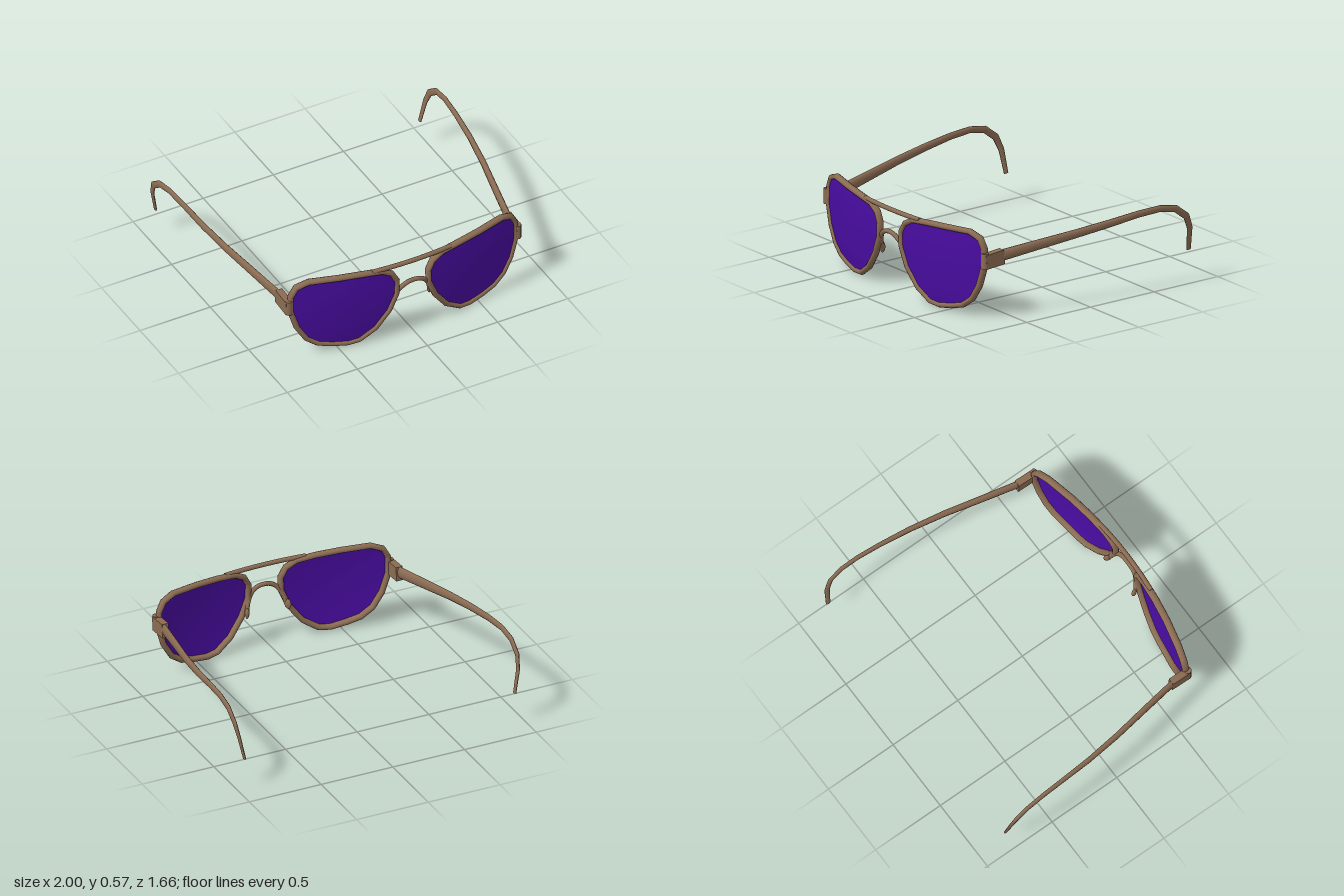
import * as THREE from 'three';

const frameMat = new THREE.MeshStandardMaterial({ color: 0x8b6b52 });
frameMat.name = 'brown frame';
const lensMat = new THREE.MeshStandardMaterial({ color: 0x480ca0, side: THREE.DoubleSide });
lensMat.name = 'purple lens';

// Outer edge of one rim (x, y), clockwise from the inner top corner
const OUTLINE = [
  [0.2, 0.54], [0.33, 0.557], [0.5, 0.568], [0.7, 0.572], [0.78, 0.54], [0.815, 0.475], [0.818, 0.35],
  [0.778, 0.215], [0.715, 0.11], [0.635, 0.05], [0.54, 0.022], [0.43, 0.003], [0.35, 0.012], [0.24, 0.085],
  [0.147, 0.21], [0.097, 0.335], [0.095, 0.435], [0.13, 0.5],
];
const MID = [0.455, 0.31];

// Wrapped front surface of the glasses
const frontZ = (x, y) => 0.83 - 0.2 * x * x - 0.2 * (y - 0.36) ** 2;

// Sweep an ellipse along points; size(i) gives [half size along ref, half size across]
function sweep(points, size, ref, closed = false, sides = 10) {
  const n = points.length, pos = [], idx = [];
  const ring = (i) => {
    const prev = points[closed ? (i + n - 1) % n : Math.max(i - 1, 0)];
    const next = points[closed ? (i + 1) % n : Math.min(i + 1, n - 1)];
    const t = next.clone().sub(prev).normalize();
    const u = ref.clone().addScaledVector(t, -ref.dot(t)).normalize();
    const v = t.clone().cross(u);
    const [a, b] = size(i);
    for (let j = 0; j < sides; j++) {
      const w = (j / sides) * Math.PI * 2;
      const p = points[i].clone().addScaledVector(u, a * Math.cos(w)).addScaledVector(v, b * Math.sin(w));
      pos.push(p.x, p.y, p.z);
    }
  };
  for (let i = 0; i < n; i++) ring(i);
  for (let i = 0; i < (closed ? n : n - 1); i++) {
    const k = (i + 1) % n;
    for (let j = 0; j < sides; j++) {
      const j2 = (j + 1) % sides;
      const a = i * sides + j, b = i * sides + j2, c = k * sides + j, d = k * sides + j2;
      idx.push(a, b, c, b, d, c);
    }
  }
  // End caps with their own vertices
  if (!closed) for (const end of [0, n - 1]) {
    const base = pos.length / 3;
    ring(end);
    pos.push(...points[end].toArray());
    for (let j = 0; j < sides; j++) {
      const a = base + j, b = base + (j + 1) % sides;
      idx.push(base + sides, ...(end ? [a, b] : [b, a]));
    }
  }
  return build(pos, idx);
}

function build(pos, idx) {
  const g = new THREE.BufferGeometry();
  g.setAttribute('position', new THREE.Float32BufferAttribute(pos, 3));
  g.setIndex(idx);
  g.computeVertexNormals();
  return g;
}

// Curved lens made of shrinking rings of the rim centre line
function lensGeometry(line, s) {
  const rings = 6, n = line.length, pos = [], idx = [];
  for (let r = 0; r <= rings; r++) {
    for (const p of line) {
      const k = 1 - r / rings;
      const x = MID[0] + (p[0] - MID[0]) * k, y = MID[1] + (p[1] - MID[1]) * k;
      pos.push(s * x, y, frontZ(x, y) - 0.013);
    }
  }
  for (let r = 0; r < rings; r++) for (let i = 0; i < n; i++) {
    const a = r * n + i, b = r * n + (i + 1) % n, c = a + n, d = b + n;
    if (s > 0) idx.push(a, c, b, b, c, d);
    else idx.push(a, b, c, b, d, c);
  }
  return build(pos, idx);
}

export function createModel() {
  const group = new THREE.Group();
  const X = new THREE.Vector3(1, 0, 0), Z = new THREE.Vector3(0, 0, 1);
  const V = (x, y, z) => new THREE.Vector3(x, y, z);
  const add = (name, geometry, material = frameMat) => {
    const m = new THREE.Mesh(geometry, material);
    m.name = name;
    group.add(m);
    return m;
  };

  // Rim centre line, moved in from the outer edge
  const line = OUTLINE.map(([x, y]) => {
    const d = Math.hypot(x - MID[0], y - MID[1]), k = 1 - 0.018 / d;
    return [MID[0] + (x - MID[0]) * k, MID[1] + (y - MID[1]) * k];
  });

  // Temple stations: x, y, z, half width, half height
  const temple = [
    [0.818, 0.408, 0.57, 0.019, 0.039], [0.865, 0.44, 0.32, 0.019, 0.034], [0.915, 0.473, 0.06, 0.018, 0.029],
    [0.95, 0.502, -0.18, 0.016, 0.026], [0.97, 0.527, -0.4, 0.014, 0.023], [0.981, 0.534, -0.56, 0.013, 0.022],
    [0.986, 0.511, -0.68, 0.012, 0.024], [0.985, 0.445, -0.765, 0.011, 0.024],
    [0.973, 0.36, -0.8, 0.009, 0.021], [0.942, 0.206, -0.815, 0.008, 0.016],
  ];

  for (const s of [1, -1]) {
    const side = s > 0 ? 'left' : 'right';
    const rim = line.map(([x, y]) => V(s * x, y, frontZ(x, y) - 0.022));
    add(side + 'Rim', sweep(rim, () => [0.024, 0.019], Z, true));
    add(side + 'Lens', lensGeometry(line, s), lensMat);

    // Hinge block and the lug joining it to the rim
    const hinge = add(side + 'Hinge', new THREE.BoxGeometry(0.046, 0.094, 0.14));
    hinge.position.set(s * 0.816, 0.396, 0.621);
    hinge.rotation.x = 0.08;
    const lug = add(side + 'Lug', new THREE.CylinderGeometry(0.024, 0.024, 0.1, 10));
    lug.position.set(s * 0.815, 0.395, 0.685);

    const path = temple.map(([x, y, z]) => V(s * x, y, z));
    add(side + 'Temple', sweep(path, (i) => [temple[i][3], temple[i][4]], X));

    // Nose pad behind the rim
    const pad = add(side + 'NosePad', new THREE.SphereGeometry(1, 12, 8));
    pad.scale.set(0.014, 0.035, 0.026);
    pad.position.set(s * 0.142, 0.25, 0.762);
    pad.rotation.y = -s * 0.45;
  }

  // Straight brow bar across the top
  const bar = [];
  for (let i = 0; i <= 8; i++) {
    const x = -0.28 + i * 0.07;
    bar.push(V(x, 0.545, frontZ(x, 0.545) - 0.016));
  }
  add('browBar', sweep(bar, () => [0.016, 0.015], Z));

  // Arched bridge running down to the nose pads
  const arch = new THREE.CatmullRomCurve3([
    V(-0.138, 0.25, 0.775), V(-0.122, 0.31, 0.79), V(-0.085, 0.368, 0.81), V(-0.045, 0.393, 0.815), V(0, 0.4, 0.815),
    V(0.045, 0.393, 0.815), V(0.085, 0.368, 0.81), V(0.122, 0.31, 0.79), V(0.138, 0.25, 0.775),
  ]);
  add('bridge', sweep(arch.getPoints(20), () => [0.015, 0.015], Z));

  return group;
}
